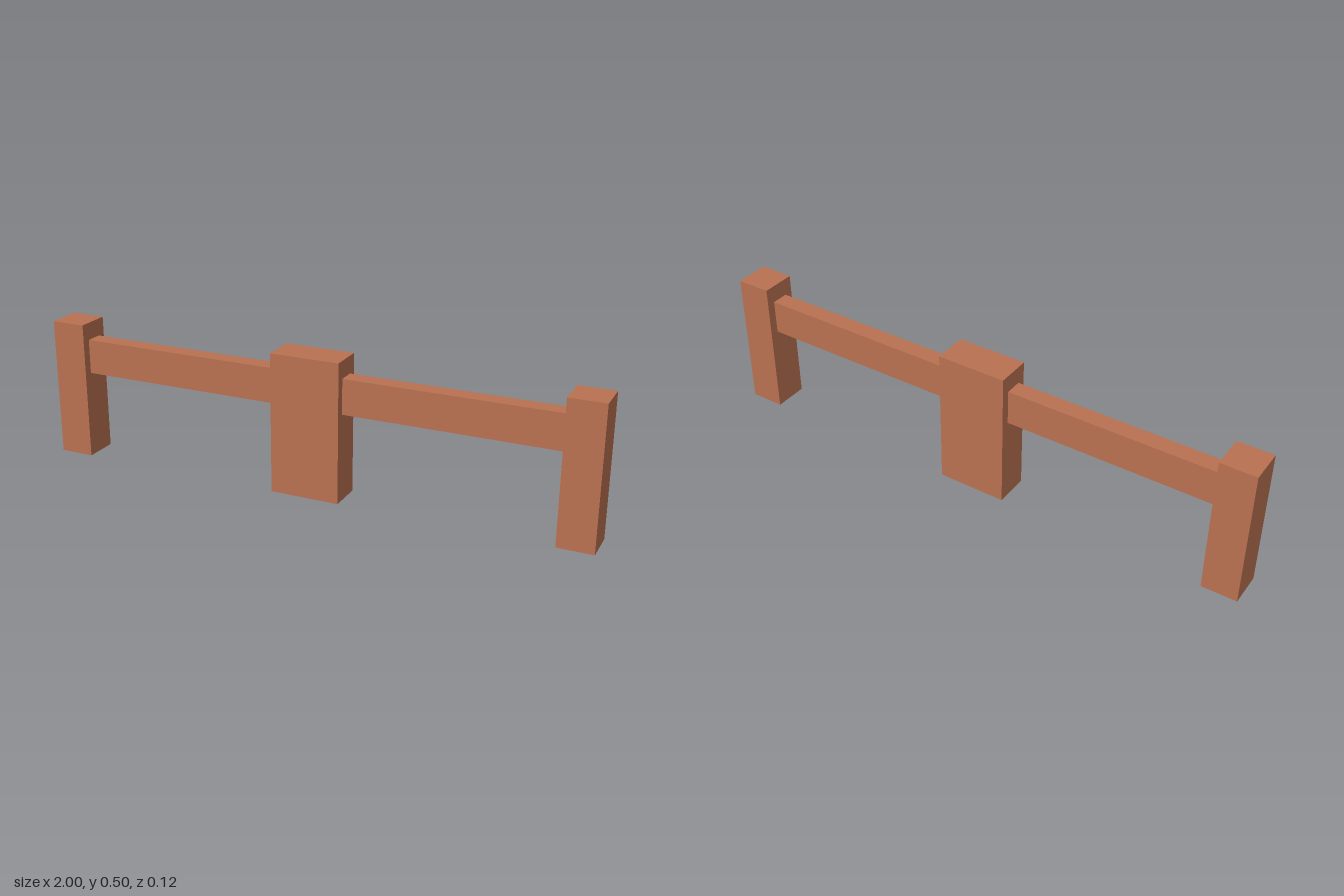
import * as THREE from 'three';

export function createModel() {
  const group = new THREE.Group();
  const terracotta = new THREE.MeshStandardMaterial({ color: 0xb97150 });
  terracotta.name = 'terracotta';

  const addBox = (name, width, height, depth, x, y) => {
    const mesh = new THREE.Mesh(new THREE.BoxGeometry(width, height, depth), terracotta);
    mesh.name = name;
    mesh.position.set(x, y, 0);
    group.add(mesh);
  };

  // Wide pillar in the middle
  addBox('centrePillar', 0.25, 0.5, 0.125, 0, 0.25);

  // End posts, and the rails joining them to the pillar
  for (const [side, s] of [['left', 1], ['right', -1]]) {
    addBox(`${side}EndPost`, 0.125, 0.5, 0.125, s * 0.9375, 0.25);
    addBox(`${side}Rail`, 0.75, 0.125, 0.0625, s * 0.5, 0.375);
  }
  return group;
}
